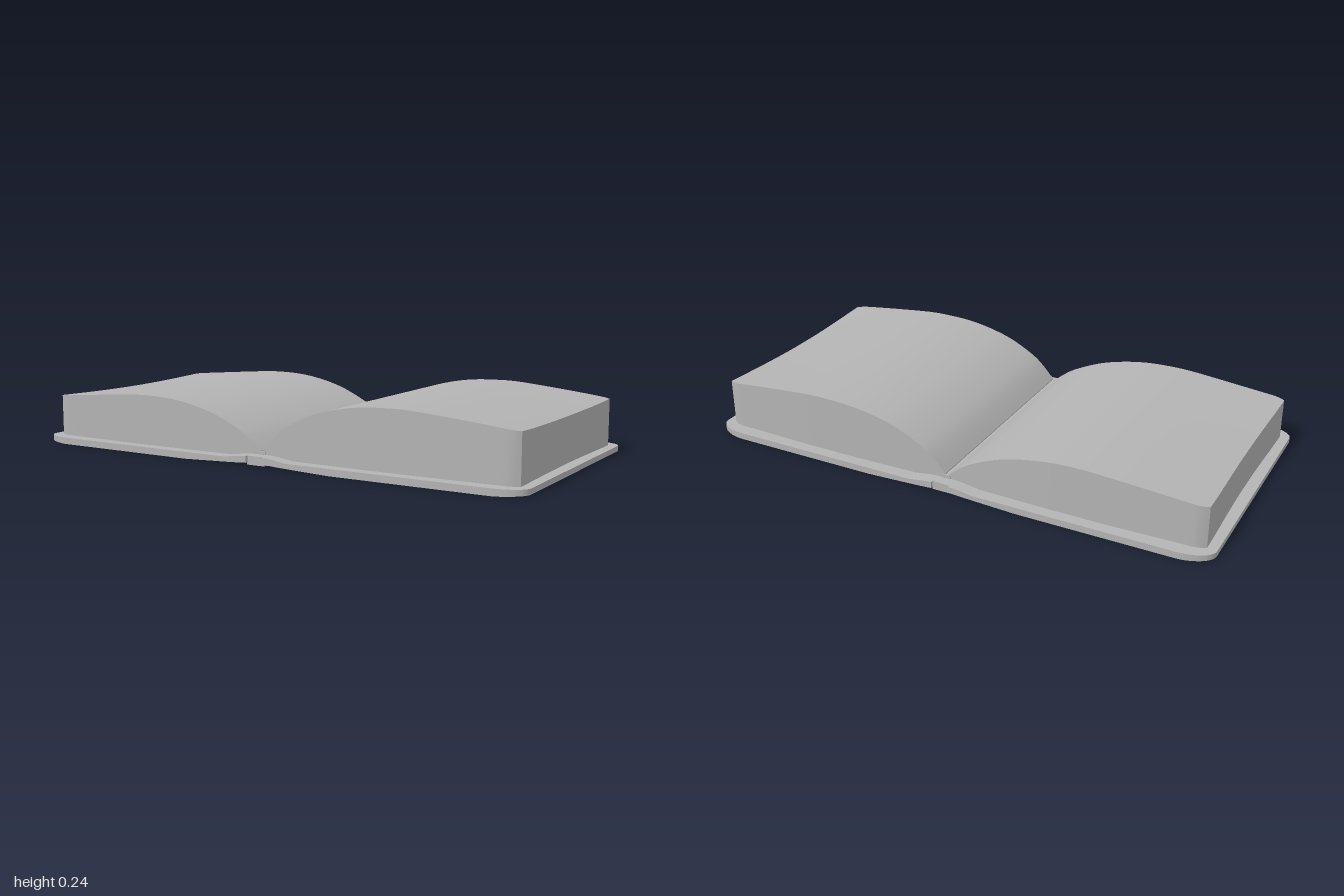
import * as THREE from 'three';

const grey = new THREE.MeshStandardMaterial({ color: 0xb4b4b4 });
grey.name = 'plain grey';

// Smooth curve through [x, y] points, sampled by x
function profile(points) {
  const curve = new THREE.SplineCurve(points.map(([x, y]) => new THREE.Vector2(x, y)));
  const samples = curve.getPoints(300);
  return (x) => {
    const i = samples.findIndex((p) => p.x >= x);
    if (i < 0) return samples[300].y;
    if (i === 0) return samples[0].y;
    const a = samples[i - 1], b = samples[i];
    return a.y + ((b.y - a.y) * (x - a.x)) / (b.x - a.x);
  };
}

// Piecewise linear lookup
function linear(points, x) {
  for (let i = 1; i < points.length; i++) {
    const [x0, y0] = points[i - 1], [x1, y1] = points[i];
    if (x <= x1) return y0 + ((y1 - y0) * Math.max(0, x - x0)) / (x1 - x0);
  }
  return points[points.length - 1][1];
}

// Box whose vertices are moved by rule(u, top, w): u 0..1 along x, w -1..1 along z
function warpedBox(nx, nz, rule) {
  const g = new THREE.BoxGeometry(1, 1, 1, nx, 1, nz);
  const p = g.attributes.position;
  for (let i = 0; i < p.count; i++) {
    p.setXYZ(i, ...rule(p.getX(i) + 0.5, p.getY(i) > 0, p.getZ(i) * 2));
  }
  g.computeVertexNormals();
  return g;
}

function addMesh(group, name, geometry, turned = false) {
  const mesh = new THREE.Mesh(geometry, grey);
  mesh.name = name;
  if (turned) mesh.rotation.y = Math.PI;
  group.add(mesh);
}

// Half of the page block, running from the gutter out to the fore edge
function pageBlock(points, sag) {
  const height = profile(points);
  const halfDepth = [[0, 0.447], [0.4, 0.455], [0.6, 0.455], [0.92, 0.446], [0.945, 0.44], [0.96, 0.428]];
  return warpedBox(48, 16, (u, top, w) => {
    const along = 0.006 + 0.95 * u;
    const x = along + 0.008 * u ** 8 * Math.sin(w * w * Math.PI / 2);
    const dip = sag * (1 - w * w) * u ** 4;
    return [x, top ? height(along) - dip : 0.025, w * linear(halfDepth, along)];
  });
}

// Cover board with rounded outer corners and a raised hinge beside the spine
function coverBoard() {
  const stations = [0.035, 0.06, 0.09, 0.13, 0.2, 0.3, 0.6, 0.88];
  for (let i = 1; i <= 10; i++) stations.push(0.88 + 0.12 * Math.sin((i / 10) * Math.PI / 2));
  const n = stations.length - 1;
  const upper = [[0.035, 0.036], [0.07, 0.034], [0.13, 0.025], [1, 0.025]];
  const lower = [[0.035, 0.012], [0.1, 0.008], [0.3, 0], [0.9, 0], [1, 0.005]];
  return warpedBox(n, 8, (u, top, w) => {
    const x = stations[Math.round(u * n)];
    const c = Math.max(0, (x - 0.88) / 0.12);
    const half = 0.435 + 0.065 * Math.sqrt(Math.max(0, 1 - c * c));
    return [x, linear(top ? upper : lower, x), w * half];
  });
}

export function createModel() {
  const book = new THREE.Group();
  book.name = 'openBook';

  // Covers
  addMesh(book, 'leftCover', coverBoard());
  addMesh(book, 'rightCover', coverBoard(), true);

  // Spine, slightly shorter than the covers
  const spine = new THREE.BoxGeometry(0.072, 0.032, 0.98);
  spine.translate(0, 0.02, 0);
  addMesh(book, 'spine', spine);

  // Binding strip at the bottom of the gutter
  const binding = new THREE.BoxGeometry(0.03, 0.02, 0.9);
  binding.translate(0, 0.038, 0);
  addMesh(book, 'binding', binding);

  // Page blocks, the left one a little thicker
  addMesh(book, 'leftPages', pageBlock([
    [0, 0.045], [0.05, 0.1], [0.1, 0.14], [0.2, 0.19], [0.3, 0.219], [0.4, 0.235],
    [0.5, 0.24], [0.6, 0.238], [0.8, 0.219], [0.96, 0.2],
  ], 0.01));
  addMesh(book, 'rightPages', pageBlock([
    [0, 0.045], [0.05, 0.086], [0.1, 0.118], [0.2, 0.163], [0.3, 0.191], [0.4, 0.207],
    [0.5, 0.212], [0.6, 0.209], [0.8, 0.193], [0.96, 0.179],
  ], 0.008), true);

  return book;
}
